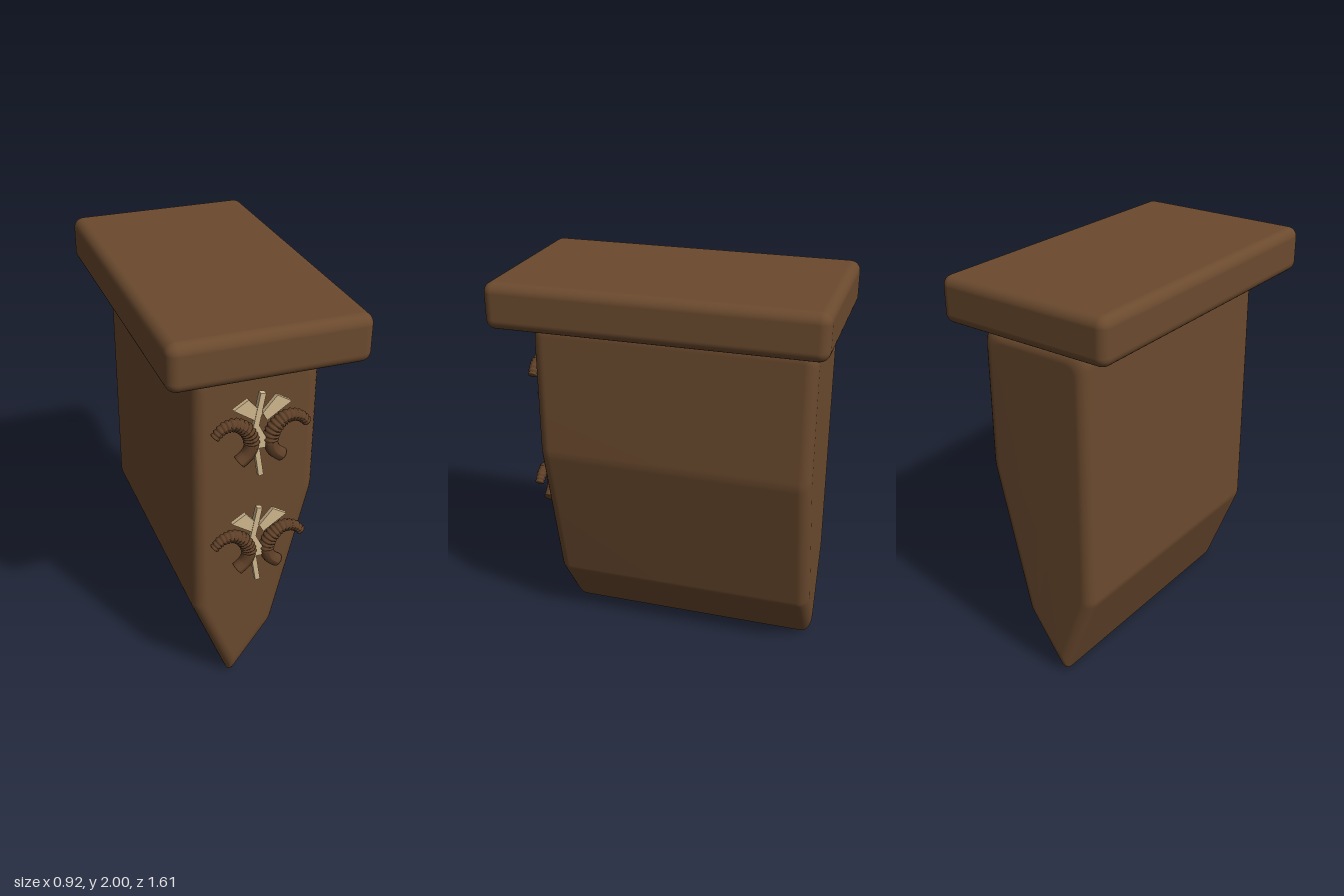
import * as THREE from 'three';
import { RoundedBoxGeometry } from 'three/addons/geometries/RoundedBoxGeometry.js';

const V = (x, y) => new THREE.Vector2(x, y);
const mat = (name, color) => {
  const m = new THREE.MeshStandardMaterial({ color });
  m.name = name;
  return m;
};

// Body outline, counter-clockwise: x, y, corner cut length
const OUTLINE = [
  [-0.3, 1.775, 0.07], [-0.3, 0.48, 0.02], [-0.11, -0.014, 0.03],
  [0.11, 0.3, 0.02], [0.295, 1.08, 0.03], [0.295, 1.775, 0.07],
];

// Outline moved inward by d, with each corner rounded
function ring(d) {
  const n = OUTLINE.length;
  const p = OUTLINE.map(([x, y]) => V(x, y));
  const normal = (i) => {
    const e = p[(i + 1) % n].clone().sub(p[i]).normalize();
    return V(-e.y, e.x);
  };
  const q = p.map((v, i) => {
    const a = normal((i + n - 1) % n), b = normal(i);
    return v.clone().addScaledVector(a.clone().add(b), d / (1 + a.dot(b)));
  });
  return q.flatMap((v, i) => {
    const cut = OUTLINE[i][2];
    const toward = (w) => v.clone().add(w.clone().sub(v).setLength(cut));
    const c = new THREE.QuadraticBezierCurve(toward(q[(i + n - 1) % n]), v, toward(q[(i + 1) % n]));
    return c.getPoints(5);
  });
}

// Rings lofted from back to front with rounded end edges
function bodyGeometry(zBack, zFront, r) {
  const steps = 6, rings = [];
  for (let k = 0; k <= steps; k++) {
    const t = (k / steps) * Math.PI / 2;
    rings.push([r * (1 - Math.sin(t)), zBack + r * (1 - Math.cos(t))]);
  }
  for (let k = steps; k >= 0; k--) {
    const t = (k / steps) * Math.PI / 2;
    rings.push([r * (1 - Math.sin(t)), zFront - r * (1 - Math.cos(t))]);
  }
  const pos = [], idx = [];
  let m = 0;
  for (const [d, z] of rings) {
    const pts = ring(d);
    m = pts.length;
    pts.forEach((v) => pos.push(v.x, v.y, z));
  }
  for (let k = 0; k < rings.length - 1; k++) {
    for (let i = 0; i < m; i++) {
      const a = k * m + i, b = k * m + (i + 1) % m;
      idx.push(a, b, b + m, a, b + m, a + m);
    }
  }
  const back = pos.length / 3, front = back + 1, last = (rings.length - 1) * m;
  pos.push(0, 1, zBack, 0, 1, zFront);
  for (let i = 0; i < m; i++) {
    const j = (i + 1) % m;
    idx.push(back, j, i, front, last + i, last + j);
  }
  const g = new THREE.BufferGeometry();
  g.setAttribute('position', new THREE.Float32BufferAttribute(pos, 3));
  g.setIndex(idx);
  g.computeVertexNormals();
  return g;
}

// Curled horn: a tapering tube, ridged from the tip to past the bend
function hornGeometry() {
  const path = new THREE.CatmullRomCurve3([
    [0.222, 0.02], [0.18, 0.06], [0.125, 0.07], [0.068, 0.03],
    [0.045, -0.035], [0.062, -0.09], [0.105, -0.128],
  ].map(([x, y]) => new THREE.Vector3(x, y, 0)));
  const segs = 96, sides = 12;
  const g = new THREE.TubeGeometry(path, segs, 1, sides, false);
  const p = g.attributes.position, v = new THREE.Vector3();
  for (let i = 0; i <= segs; i++) {
    const t = i / segs, c = path.getPointAt(t);
    let r = 0.02 + 0.013 * Math.min(1, t * 2);
    if (t < 0.7) r *= 0.88 + 0.28 * Math.abs(Math.sin(t * Math.PI * 20));
    if (i === 0 || i === segs) r = 0;
    for (let j = 0; j <= sides; j++) {
      const k = i * (sides + 1) + j;
      v.fromBufferAttribute(p, k).sub(c).multiplyScalar(r).add(c);
      p.setXYZ(k, v.x, v.y, v.z);
    }
  }
  g.computeVertexNormals();
  return g;
}

// Horn with x mirrored and its winding restored
function mirrored(g) {
  const m = g.clone().scale(-1, 1, 1);
  const a = m.index.array;
  for (let i = 0; i < a.length; i += 3) [a[i], a[i + 1]] = [a[i + 1], a[i]];
  m.computeVertexNormals();
  return m;
}

export function createModel() {
  const wood = mat('brown wood', 0x6b4a2e);
  const hornBrown = mat('horn brown', 0x5f4028);
  const bone = mat('pale bone', 0xd2b98f);
  const model = new THREE.Group();
  const add = (parent, name, geometry, material) => {
    const mesh = new THREE.Mesh(geometry, material);
    mesh.name = name;
    parent.add(mesh);
    return mesh;
  };

  add(model, 'topSlab', new RoundedBoxGeometry(0.92, 0.225, 1.61, 5, 0.05), wood)
    .position.set(0, 1.8875, 0);
  add(model, 'body', bodyGeometry(-0.735, 0.647, 0.06), wood);

  const horn = hornGeometry(), hornMirror = mirrored(horn);
  const plate = (pts) => new THREE.ExtrudeGeometry(
    new THREE.Shape(pts.map(([x, y]) => V(x, y))), { depth: 0.02, bevelEnabled: false },
  ).translate(0, 0, -0.01);

  // Two horned ornaments on the front
  for (const y of [1.45, 0.85]) {
    const ornament = new THREE.Group();
    ornament.name = 'hornedOrnament';
    ornament.position.set(0, y, 0.687);
    model.add(ornament);
    add(ornament, 'leftHorn', horn, hornBrown);
    add(ornament, 'rightHorn', hornMirror, hornBrown);
    // Bone staff in two slanted pieces with a small knot between them
    for (const [x0, y0, x1, y1, w] of [
      [0, 0.21, -0.033, 0.03, 0.026], [-0.022, -0.07, 0, -0.21, 0.024], [-0.028, 0.05, 0.012, -0.03, 0.026],
    ]) {
      const dx = x1 - x0, dy = y1 - y0;
      const piece = add(ornament, 'staff', new THREE.BoxGeometry(w, Math.hypot(dx, dy), 0.025), bone);
      piece.position.set((x0 + x1) / 2, (y0 + y1) / 2, 0);
      piece.rotation.z = Math.atan2(-dx, dy);
    }
    add(ornament, 'knot', new THREE.BoxGeometry(0.035, 0.06, 0.025), bone).position.set(0, -0.035, 0);
    // Flared bone leaves
    for (const s of [1, -1]) {
      add(ornament, s > 0 ? 'leftLeaf' : 'rightLeaf', plate([
        [0.135 * s, 0.146], [0.067 * s, 0.188], [0, 0.11], [0.022 * s, 0.07],
      ]), bone);
    }
  }
  return model;
}
